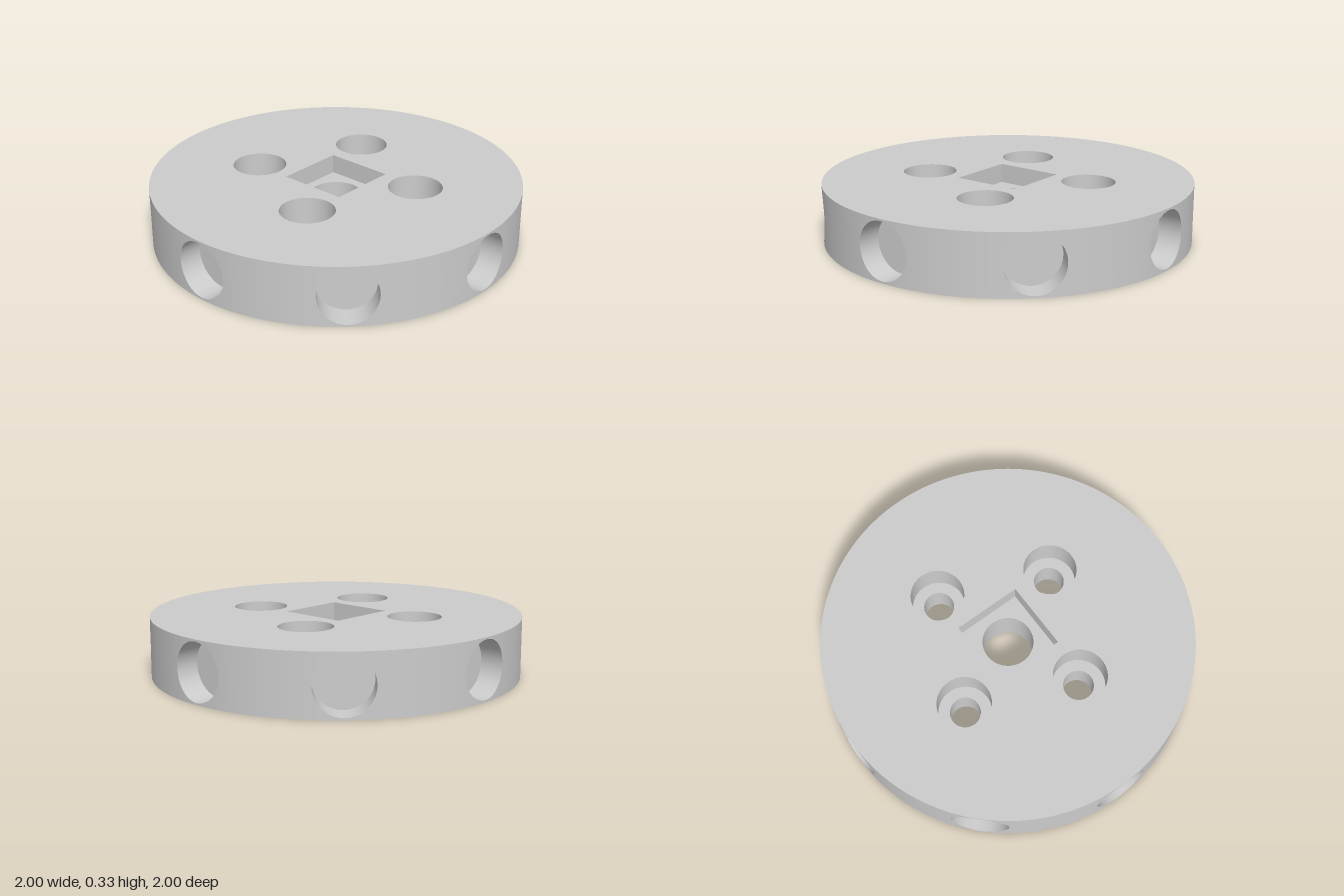
import * as THREE from 'three';

const H = 0.327, MID = H / 2;             // disc height
const PORT_R = 0.153, PORT_FLOOR = 0.86;  // round pockets in the rim
const CENTRE_R = 0.138, SQUARE = 0.19, SQUARE_DEPTH = 0.105;
const BOLT_R = 0.083, HEAD_R = 0.145, HEAD_DEPTH = 0.165, BOLT_CIRCLE = 0.444;
const bolts = [0, 1, 2, 3].map(i => {
  const a = Math.PI / 8 + i * Math.PI / 2;
  return [BOLT_CIRCLE * Math.cos(a), BOLT_CIRCLE * Math.sin(a)]; // shape x, y (y = -z)
});

// Smooth strip between two curves p(t) and q(t), t in 0..1
function strip(p, q, normal, n) {
  const pos = [], nor = [], idx = [];
  for (let i = 0; i <= n; i++) {
    const t = i / n;
    pos.push(...p(t), ...q(t));
    nor.push(...normal(t), ...normal(t));
    if (i < n) idx.push(2 * i, 2 * i + 1, 2 * i + 2, 2 * i + 1, 2 * i + 3, 2 * i + 2);
  }
  const g = new THREE.BufferGeometry();
  g.setAttribute('position', new THREE.Float32BufferAttribute(pos, 3));
  g.setAttribute('normal', new THREE.Float32BufferAttribute(nor, 3));
  g.setIndex(idx);
  return g;
}

// Inward-facing round wall
const bore = (r, top, bottom) =>
  new THREE.LatheGeometry([new THREE.Vector2(r, top), new THREE.Vector2(r, bottom)], 48);

function circleHole(x, y, r) {
  return new THREE.Path().absarc(x, y, r, 0, Math.PI * 2, true);
}

function squarePath(target) {
  target.moveTo(-SQUARE, -SQUARE);
  target.lineTo(SQUARE, -SQUARE);
  target.lineTo(SQUARE, SQUARE);
  target.lineTo(-SQUARE, SQUARE);
  target.closePath();
  return target;
}

export function createModel() {
  const model = new THREE.Group();
  const grey = new THREE.MeshStandardMaterial({ color: 0xcccccc });
  grey.name = 'grey';
  const add = (name, geometry, parent = model) => {
    const mesh = new THREE.Mesh(geometry, grey);
    mesh.name = name;
    parent.add(mesh);
  };

  // Top and bottom faces with their openings
  const top = new THREE.Shape().absarc(0, 0, 1, 0, Math.PI * 2);
  top.holes.push(squarePath(new THREE.Path()), ...bolts.map(([x, y]) => circleHole(x, y, HEAD_R)));
  add('topFace', new THREE.ShapeGeometry(top, 64).rotateX(-Math.PI / 2).translate(0, H, 0));

  const bottom = new THREE.Shape().absarc(0, 0, 1, 0, Math.PI * 2);
  bottom.holes.push(circleHole(0, 0, CENTRE_R), ...bolts.map(([x, y]) => circleHole(x, -y, BOLT_R)));
  add('bottomFace', new THREE.ShapeGeometry(bottom, 64).rotateX(Math.PI / 2));

  // Square centre pocket with a round hole through its floor
  const pocket = new THREE.Group();
  pocket.name = 'centrePocket';
  model.add(pocket);
  const floor = squarePath(new THREE.Shape());
  floor.holes.push(circleHole(0, 0, CENTRE_R));
  add('pocketFloor', new THREE.ShapeGeometry(floor, 24).rotateX(-Math.PI / 2)
    .translate(0, H - SQUARE_DEPTH, 0), pocket);
  for (let i = 0; i < 4; i++) {
    add('pocketWall', new THREE.PlaneGeometry(2 * SQUARE, SQUARE_DEPTH)
      .translate(0, H - SQUARE_DEPTH / 2, -SQUARE).rotateY(i * Math.PI / 2), pocket);
  }
  add('centreBore', bore(CENTRE_R, H - SQUARE_DEPTH, 0), pocket);

  // Counterbored bolt holes
  for (const [x, y] of bolts) {
    const hole = new THREE.Group();
    hole.name = 'boltHole';
    hole.position.set(x, 0, -y);
    model.add(hole);
    add('headBore', bore(HEAD_R, H, H - HEAD_DEPTH), hole);
    add('headSeat', new THREE.RingGeometry(BOLT_R, HEAD_R, 48).rotateX(-Math.PI / 2)
      .translate(0, H - HEAD_DEPTH, 0), hole);
    add('boltBore', bore(BOLT_R, H - HEAD_DEPTH, 0), hole);
  }

  // Rim in eight sectors, each with a round flat-bottomed pocket facing +z
  const side = Math.asin(PORT_R);
  const onRim = (x, y) => [x, y, Math.sqrt(1 - x * x)];
  const halfX = t => -PORT_R * Math.cos(Math.PI * t);
  const halfY = t => PORT_R * Math.sin(Math.PI * t);
  const rimNormal = t => onRim(halfX(t), 0);
  // The pocket edge runs clockwise so that its wall faces inward
  const turn = t => -2 * Math.PI * t;
  const edgeX = t => PORT_R * Math.cos(turn(t));
  const edgeY = t => MID + PORT_R * Math.sin(turn(t));
  for (let i = 0; i < 8; i++) {
    const sector = new THREE.Group();
    sector.name = 'rimSector';
    sector.rotation.y = i * Math.PI / 4;
    model.add(sector);
    add('rimPanel', new THREE.CylinderGeometry(1, 1, H, 12, 1, true, side, Math.PI / 4 - 2 * side)
      .translate(0, MID, 0), sector);
    add('rimAbovePocket', strip(t => onRim(halfX(t), H), t => onRim(halfX(t), MID + halfY(t)),
      rimNormal, 32), sector);
    add('rimBelowPocket', strip(t => onRim(halfX(t), MID - halfY(t)), t => onRim(halfX(t), 0),
      rimNormal, 32), sector);
    add('rimPocketWall', strip(t => onRim(edgeX(t), edgeY(t)),
      t => [edgeX(t), edgeY(t), PORT_FLOOR],
      t => [-Math.cos(turn(t)), -Math.sin(turn(t)), 0], 64), sector);
    add('rimPocketFloor', new THREE.CircleGeometry(PORT_R, 64).translate(0, MID, PORT_FLOOR), sector);
  }
  return model;
}
